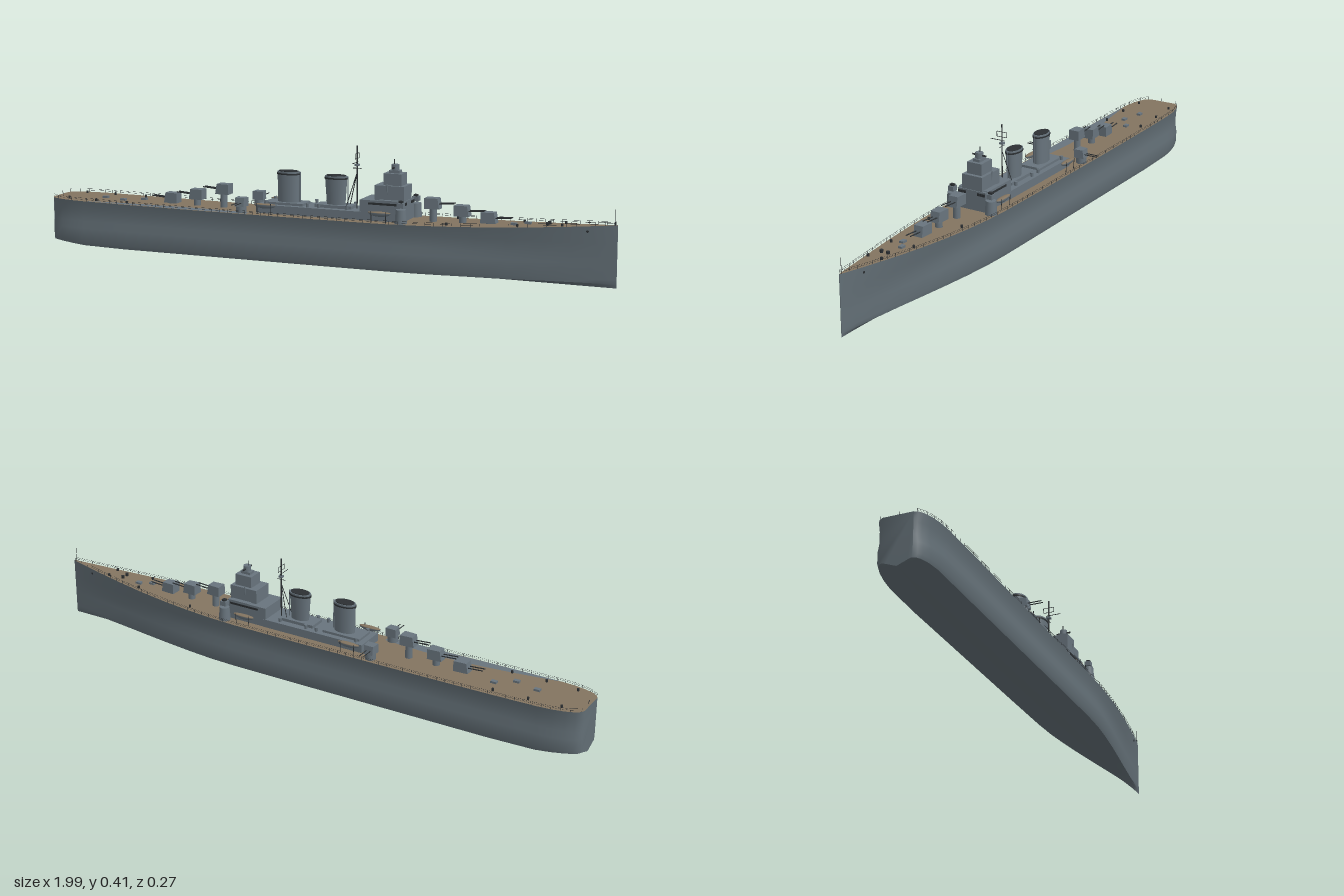
import * as THREE from 'three';
import { mergeGeometries, toCreasedNormals } from 'three/addons/utils/BufferGeometryUtils.js';

const mat = (name, color, side = THREE.FrontSide) => {
  const m = new THREE.MeshStandardMaterial({ color, side });
  m.name = name;
  return m;
};

// half-width of the deck along the ship
const PLAN = [[-1, .05], [-.993, .062], [-.98, .072], [-.95, .083], [-.91, .091], [-.86, .095], [-.7, .097], [-.4, .097],
  [0, .097], [.25, .096], [.35, .093], [.45, .086], [.55, .076], [.65, .063], [.75, .047], [.85, .029], [.93, .014], [.97, .006], [.992, .001]];
const halfWidth = (x) => {
  for (let i = 1; i < PLAN.length; i++) {
    const [x0, w0] = PLAN[i - 1], [x1, w1] = PLAN[i];
    if (x <= x1) return w0 + (w1 - w0) * (x - x0) / (x1 - x0);
  }
  return 0;
};
const deckY = (x) => .168 + .034 * Math.max(0, (x - .1) / .9) ** 2 + .004 * Math.max(0, (-x - .5) / .5);

// half cross-section as [width fraction, height], keel to deck edge
function section(x) {
  const w = halfWidth(x), top = deckY(x);
  const bow = THREE.MathUtils.smoothstep(x, .25, 1);
  const stern = THREE.MathUtils.smoothstep(-x, .8, 1);
  const k = 1 - .3 * bow;
  const lift = .012 * stern;
  return [[0, lift * .6], [.7 * k, .009 + lift], [.95 * k, .013 + lift], [1 * k, .026 + lift], [k, .075], [.94 * k + .03 * bow, .1],
    [.94 - .1 * bow, .14], [1, top]].map(([f, y]) => [f * w, y]);
}

function hullGeometry() {
  const pos = [], idx = [];
  let n = 0;
  PLAN.forEach(([x]) => {
    const s = section(x);
    const loop = [...s.slice().reverse(), ...s.slice(1).map(([z, y]) => [-z, y])];
    n = loop.length;
    loop.forEach(([z, y]) => pos.push(x, y, z));
  });
  for (let i = 0; i < PLAN.length - 1; i++) for (let j = 0; j < n - 1; j++) {
    const a = i * n + j, b = a + n;
    idx.push(a, a + 1, b, b, a + 1, b + 1);
  }
  // transom and stem caps
  const last = (PLAN.length - 1) * n;
  for (let j = 1; j < n - 1; j++) idx.push(0, j + 1, j, last, last + j, last + j + 1);
  return finish(pos, idx);
}

function finish(pos, idx) {
  const g = new THREE.BufferGeometry();
  g.setAttribute('position', new THREE.Float32BufferAttribute(pos, 3));
  g.setIndex(idx);
  g.computeVertexNormals();
  return toCreasedNormals(g, .7);
}

// upward-facing strip between two z curves, following the deck
function deckStrip(xs, zIn, zOut, lift) {
  const pos = [], idx = [];
  xs.forEach((x, i) => {
    pos.push(x, deckY(x) + lift, zIn(x), x, deckY(x) + lift, zOut(x));
    if (i) { const a = 2 * i - 2; idx.push(a, a + 1, a + 2, a + 2, a + 1, a + 3); }
  });
  return finish(pos, idx);
}

// thin straight bar between two points
function rod(a, b, r, sides = 4) {
  const A = new THREE.Vector3(...a), d = new THREE.Vector3(...b).sub(A);
  const g = new THREE.CylinderGeometry(r, r, d.length(), sides);
  g.applyQuaternion(new THREE.Quaternion().setFromUnitVectors(new THREE.Vector3(0, 1, 0), d.clone().normalize()));
  return g.translate(...A.addScaledVector(d, .5).toArray());
}

export function createModel() {
  const ship = new THREE.Group();
  ship.name = 'warship';
  const hullGrey = mat('hull grey', 0x626e75);
  const upperGrey = mat('upperworks grey', 0x68747d);
  const wood = mat('deck wood', 0x837460);
  const dark = mat('dark fittings', 0x2c3033);
  const add = (name, geo, m, parent = ship) => {
    const o = new THREE.Mesh(geo, m);
    o.name = name;
    parent.add(o);
    return o;
  };
  // box given by its ranges in x and y, and depth in z
  const box = (name, x0, x1, y0, y1, dz, m = upperGrey, z = 0) =>
    add(name, new THREE.BoxGeometry(x1 - x0, y1 - y0, dz).translate((x0 + x1) / 2, (y0 + y1) / 2, z), m);
  const group = (name, x, y, z, turn = 0) => {
    const g = new THREE.Group();
    g.name = name;
    g.position.set(x, y, z);
    g.rotation.y = turn;
    ship.add(g);
    return g;
  };

  // hull and deck
  add('hull', hullGeometry(), hullGrey);
  const xs = PLAN.map((p) => p[0]);
  add('deck', deckStrip(xs, (x) => -halfWidth(x), halfWidth, 0), wood);
  const side = [-.86, -.8, -.7, -.6, -.5, -.4, -.3, -.24];
  add('deckWaterway', deckStrip(side, (x) => .092 - .036 * Math.sin(Math.PI * Math.min(1, (x + .86) / .8)), (x) => halfWidth(x) - .002, .001), upperGrey);

  // railing along both deck edges
  const rails = [];
  for (const s of [1, -1]) {
    let prev = null;
    for (let i = 0; i <= 66; i++) {
      const x = -.995 + i * .03, y = deckY(x), z = s * halfWidth(x) * .985;
      rails.push(rod([x, y, z], [x, y + .011, z], .0006));
      if (prev) for (const h of [.006, .011]) rails.push(rod([prev[0], prev[1] + h, prev[2]], [x, y + h, z], .0004, 3));
      prev = [x, y, z];
    }
  }
  add('railings', mergeGeometries(rails), dark);
  add('jackstaff', rod([.982, .19, 0], [.982, .25, 0], .001), dark);
  add('ensignStaff', rod([-.99, .17, 0], [-.995, .185, 0], .001), dark);

  // main turrets, three superfiring at each end
  const house = new THREE.BoxGeometry(.05, .035, .038);
  const hp = house.attributes.position;
  for (let i = 0; i < hp.count; i++) {
    if (hp.getY(i) > 0 && hp.getX(i) > 0) hp.setX(i, .019);
    if (hp.getX(i) > 0) hp.setZ(i, hp.getZ(i) * .85);
  }
  house.computeVertexNormals();
  for (const [x, y, turn] of [[.385, .214, 0], [.485, .196, 0], [.575, .18, 0], [-.365, .214, Math.PI], [-.465, .19, Math.PI], [-.56, .172, Math.PI]]) {
    const t = group('mainTurret', x, y, 0, turn);
    add('gunHouse', house.clone().translate(0, .0175, 0), upperGrey, t);
    const h = y - deckY(x) + .004;
    add('barbette', new THREE.CylinderGeometry(.012, .012, h, 16).translate(0, -h / 2 + .002, 0), upperGrey, t);
    for (const z of [-.008, .008]) add('gunBarrel', rod([.02, .017, z], [.074, .021, z], .0019, 8), dark, t);
  }

  // midship deckhouse
  box('deckhouse', -.22, .16, .165, .196, .108);
  box('aftDeckhouse', -.2, -.06, .196, .204, .07);
  box('midHouse', -.02, .11, .196, .206, .06);
  for (const x of [-.19, -.04, .0, .1]) for (const z of [-.04, .04])
    add('ventilator', new THREE.CylinderGeometry(.006, .005, .014, 8).translate(x, .203, z), upperGrey);

  // bridge tower
  box('bridgeBase', .15, .3, .165, .236, .106);
  box('bridgeMiddle', .195, .297, .236, .284, .076);
  box('bridgeUpper', .222, .284, .284, .323, .054);
  box('directorBase', .236, .272, .323, .332, .026);
  add('director', new THREE.CylinderGeometry(.013, .013, .02, 12).translate(.254, .341, 0), upperGrey);
  add('rangefinder', rod([.254, .341, -.025], [.254, .341, .025], .003, 8), dark);
  add('directorAerial', rod([.25, .35, 0], [.25, .368, 0], .0015), dark);
  for (const z of [-.046, -.036, -.026, .026, .036, .046]) box('bridgeWindow', .299, .303, .222, .231, .008, dark, z);
  for (const s of [1, -1]) {
    box('sideWindows', .18, .29, .222, .229, .003, dark, s * .053);
    box('bridgeWing', .215, .29, .234, .238, .02, upperGrey, s * .045);
    add('lookoutPost', rod([.24, .236, s * .034], [.24, .29, s * .04], .002, 6), upperGrey);
  }

  // two oval funnels with dark caps
  for (const [x, y, low, top] of [[-.125, .306, .037, .039], [.046, .301, .031, .039]]) {
    const f = group('funnel', x, .19, 0);
    f.scale.z = .6;
    const h = y - .19;
    add('funnelCasing', new THREE.CylinderGeometry(top, low, h, 24).translate(0, h / 2, 0), upperGrey, f);
    add('funnelBand', new THREE.CylinderGeometry(top + .002, top + .002, .005, 24).translate(0, h - .008, 0), dark, f);
    add('funnelMouth', new THREE.CylinderGeometry(top * .88, top * .88, .002, 24).translate(0, h + .001, 0), dark, f);
    add('steamPipe', rod([top + .003, .01, 0], [top + .003, h, 0], .002, 6), upperGrey, f);
  }

  // tripod mast with yards and aerial frame
  add('mast', mergeGeometries([
    rod([.12, .19, 0], [.12, .405, 0], .0024, 6),
    rod([.085, .19, .02], [.12, .315, 0], .0015), rod([.085, .19, -.02], [.12, .315, 0], .0015),
    rod([.12, .35, -.01], [.12, .35, .043], .0012), rod([.105, .33, 0], [.135, .33, 0], .0012),
    rod([.12, .379, -.019], [.12, .379, .019], .001), rod([.12, .362, -.019], [.12, .362, .019], .001),
    rod([.12, .362, -.019], [.12, .379, -.019], .001), rod([.12, .362, .019], [.12, .379, .019], .001),
  ]), dark);
  box('mastTop', .113, .127, .338, .344, .014);

  // secondary mounts, lookout directors and boats on both sides
  for (const s of [1, -1]) {
    const m = group('secondaryMount', -.265, .17, s * .075, s > 0 ? -Math.PI / 2 : Math.PI / 2);
    add('mountBase', new THREE.CylinderGeometry(.018, .018, .02, 14).translate(0, .01, 0), upperGrey, m);
    add('mountShield', house.clone().scale(.7, .85, 1).translate(0, .035, 0), upperGrey, m);
    for (const z of [-.007, .007]) add('gunBarrel', rod([.012, .033, z], [.062, .033, z], .0016, 6), dark, m);

    const d = group('sideMount', .3, .17, s * .073);
    add('pedestal', new THREE.CylinderGeometry(.017, .02, .046, 14).translate(0, .023, 0), upperGrey, d);
    add('mountHead', new THREE.BoxGeometry(.022, .016, .02).translate(0, .06, 0), upperGrey, d);
    add('sight', new THREE.BoxGeometry(.012, .008, .014).translate(0, .07, 0), dark, d);

    for (const x of [-.18, .225]) {
      const b = group('boat', x, .2, s * .071);
      add('boatHull', new THREE.SphereGeometry(1, 16, 6, 0, Math.PI * 2, Math.PI / 2, Math.PI / 2).scale(.04, .013, .01), upperGrey, b);
      add('boatCover', new THREE.SphereGeometry(1, 16, 5, 0, Math.PI * 2, 0, Math.PI / 2).scale(.04, .004, .01), wood, b);
      for (const e of [-.025, .025]) add('davit', rod([e, -.032, s * .008], [e, .006, s * .011], .0012), dark, b);
    }
    // anchors
    add('hawsepipe', new THREE.CylinderGeometry(.004, .004, .003, 10).rotateX(Math.PI / 2).translate(.9, .178, s * (halfWidth(.9) - .001)), dark);
  }

  // bollards, hatches and capstans
  for (const x of [-.93, -.82, -.7, .45, .68, .82]) for (const s of [1, -1])
    add('bollard', new THREE.CylinderGeometry(.004, .004, .009, 8).translate(x, deckY(x) + .004, s * halfWidth(x) * .72), dark);
  for (const [x, z] of [[-.82, 0], [-.74, .02], [-.68, -.02], [.66, .012], [.7, -.012]])
    box('hatch', x - .01, x + .01, deckY(x) - .002, deckY(x) + .007, .014, upperGrey, z);
  for (const z of [-.012, .012]) add('capstan', new THREE.CylinderGeometry(.006, .005, .01, 10).translate(.77, deckY(.77) + .005, z), dark);
  return ship;
}
